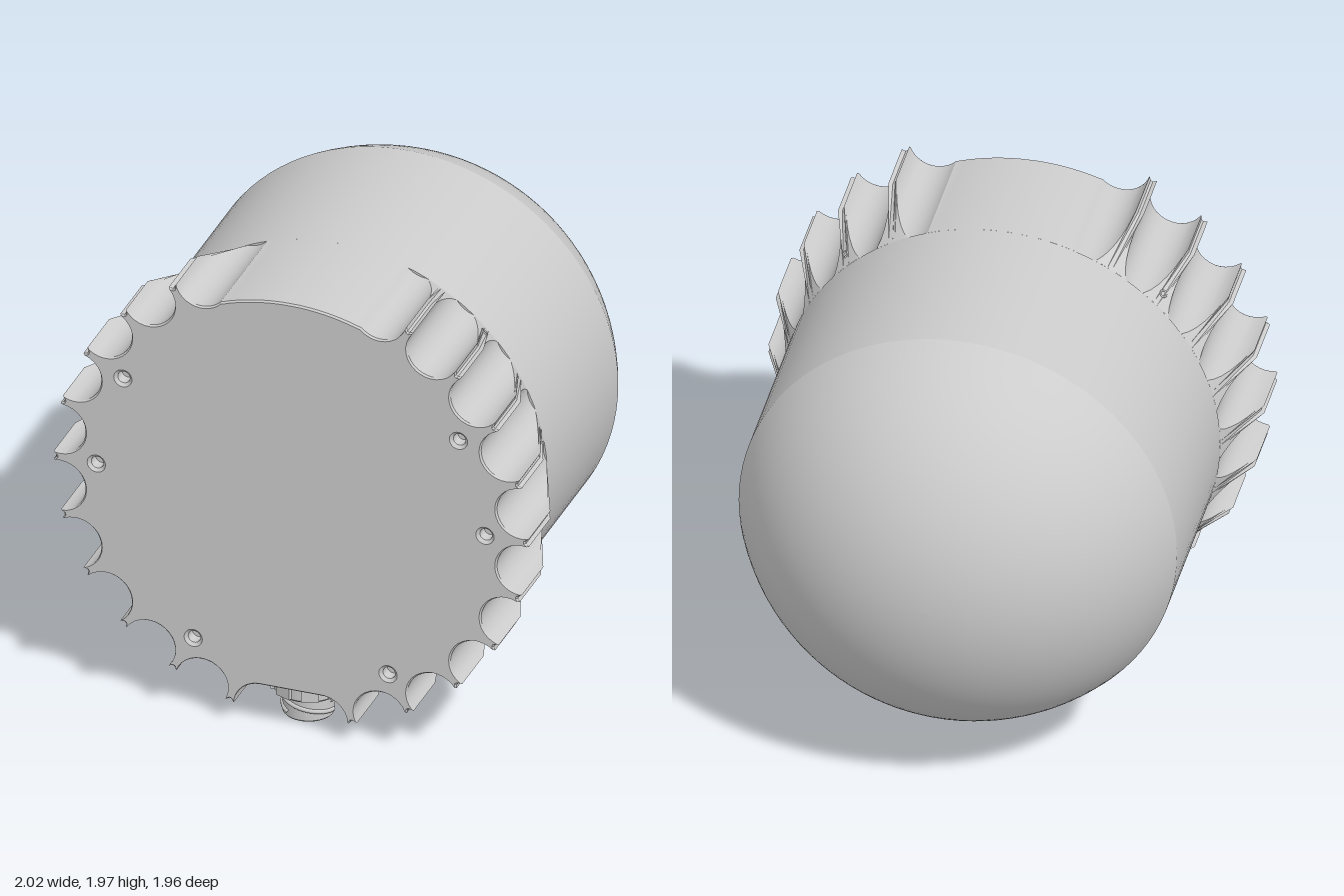
import * as THREE from 'three';
import { toCreasedNormals } from 'three/addons/utils/BufferGeometryUtils.js';

const CENTER_Y = 1.07, FRONT = 0.98, SHOULDER = 0.73, SEAM = 0.45, RIM = -0.35;
const BODY_R = 0.895, FLANGE_R = 1.0, BITE_R = 0.115;
const DEG = Math.PI / 180;

const material = new THREE.MeshStandardMaterial({ color: 0xcccccc });
const doubleSided = new THREE.MeshStandardMaterial({ color: 0xcccccc, side: THREE.DoubleSide });

function add(parent, name, geometry, mat = material) {
  const mesh = new THREE.Mesh(geometry, mat);
  mesh.name = name;
  parent.add(mesh);
  return mesh;
}

// Lathe around z: points are [radius, z] from back to front
function latheZ(points, segments) {
  const g = new THREE.LatheGeometry(points.map(p => new THREE.Vector2(p[0], p[1])), segments);
  return g.rotateX(Math.PI / 2);
}

// Scalloped flange outline, counter-clockwise; right half built bottom to top and mirrored
function flangeOutline() {
  const half = [];
  const polar = (r, a) => new THREE.Vector2(r * Math.cos(a), r * Math.sin(a));
  const N = 16;
  const spread = 93 * DEG;
  const bite = (deg, from, to) => {
    const c = polar(FLANGE_R, deg * DEG);
    for (let i = 0; i <= N; i++) {
      // sweep through the inward-facing side of the circle
      const a = deg * DEG + Math.PI - (from + (to - from) * i / N);
      half.push(polar(BITE_R, a).add(c));
    }
  };
  bite(-82.5, 7.5 * DEG, spread);
  for (let d = -75; d <= 60; d += 15) {
    half.push(polar(FLANGE_R, (d - 0.3) * DEG), polar(FLANGE_R, (d + 0.3) * DEG));
    if (d < 60) bite(d + 7.5, -spread, spread);
  }
  // last bite runs into the plain arc over the top
  bite(67.5, -spread, 24 * DEG);
  for (let d = 71; d <= 90; d += 1.9) half.push(polar(BODY_R, d * DEG));
  const mirrored = half.filter(p => p.x > 1e-3).map(p => new THREE.Vector2(-p.x, p.y)).reverse();
  return half.concat(mirrored);
}

// Flange wall: chamfer, straight scallops, then a cone fading into the body
function flangeWall(outline) {
  const n = outline.length, pos = [], index = [];
  const ring = fn => outline.forEach(p => {
    const r = p.length(), [s, z] = fn(r);
    pos.push(p.x * s, p.y * s, z);
  });
  const coneZ = r => THREE.MathUtils.clamp(
    SEAM + (SHOULDER - SEAM) * (r - BODY_R) / (FLANGE_R - BODY_R), SEAM, SHOULDER);
  ring(() => [0.992, FRONT]);
  ring(() => [1, FRONT - 0.008]);
  ring(r => [1, coneZ(r)]);
  ring(r => [BODY_R / r, SEAM]);
  for (let k = 0; k < 3; k++) for (let i = 0; i < n; i++) {
    const a = k * n + i, b = k * n + (i + 1) % n;
    index.push(a, a + n, b, b, a + n, b + n);
  }
  const g = new THREE.BufferGeometry();
  g.setAttribute('position', new THREE.Float32BufferAttribute(pos, 3));
  g.setIndex(index);
  return toCreasedNormals(g.toNonIndexed(), 0.3);
}

function createConnector() {
  const group = new THREE.Group();
  group.name = 'cableConnector';
  const lathe = (pts, seg) => toCreasedNormals(
    new THREE.LatheGeometry(pts.map(p => new THREE.Vector2(...p)), seg).toNonIndexed(), 0.5);
  // Hollow socket
  add(group, 'connectorSocket', lathe([
    [0, 0.07], [0.075, 0.07], [0.075, 0.01], [0.08, 0], [0.1, 0], [0.105, 0.006], [0.105, 0.2],
  ], 40), doubleSided);
  // Collar with grip lugs
  add(group, 'connectorCollar', lathe([
    [0.1, 0.105], [0.132, 0.105], [0.142, 0.115], [0.142, 0.18], [0.155, 0.18], [0.155, 0.2],
  ], 40), doubleSided);
  for (let i = 0; i < 8; i++) {
    const a = (i + 0.5) * Math.PI / 4;
    const lug = add(group, 'collarLug', new THREE.BoxGeometry(0.02, 0.065, 0.07));
    lug.position.set(0.143 * Math.cos(a), 0.15, 0.143 * Math.sin(a));
    lug.rotation.y = -a;
  }
  // Coupling thread
  for (let k = 0; k < 3; k++) {
    const pts = [];
    for (let i = 0; i <= 16; i++) {
      const a = k * Math.PI * 2 / 3 + i / 16 * 2.4;
      pts.push(new THREE.Vector3(0.104 * Math.cos(a), 0.025 + 0.055 * i / 16, 0.104 * Math.sin(a)));
    }
    add(group, 'couplingThread', new THREE.TubeGeometry(new THREE.CatmullRomCurve3(pts), 32, 0.01, 6));
  }
  group.position.z = 0.775;
  return group;
}

export function createModel() {
  const model = new THREE.Group();
  model.name = 'domedHousing';
  const housing = new THREE.Group();
  housing.name = 'housing';
  housing.position.y = CENTER_Y;
  model.add(housing);

  // Spherical dome at the back
  const h = FRONT + RIM, R = (BODY_R * BODY_R + h * h) / (2 * h);
  const domeAngle = Math.asin(BODY_R / R);
  const dome = [];
  for (let i = 0; i <= 28; i++) {
    const a = domeAngle * i / 28;
    dome.push([R * Math.sin(a), -FRONT + R - R * Math.cos(a)]);
  }
  add(housing, 'dome', latheZ(dome, 96));

  // Cylindrical barrel
  add(housing, 'barrel', latheZ([[BODY_R, RIM], [BODY_R, SEAM]], 96));

  // Scalloped flange and its front plate
  const outline = flangeOutline();
  add(housing, 'scallopedFlange', flangeWall(outline));
  const plate = new THREE.Shape(outline.map(p => p.clone().multiplyScalar(0.992)));
  const screws = [];
  for (const [x, y] of [[0.828, 0], [0.715, 0.413], [0.415, -0.717]]) screws.push([x, y], [-x, y]);
  for (const [x, y] of screws) {
    plate.holes.push(new THREE.Path().absarc(x, y, 0.039, 0, Math.PI * 2, true));
  }
  add(housing, 'frontPlate', new THREE.ShapeGeometry(plate, 12).translate(0, 0, FRONT));

  // Countersunk screw pockets
  const pocket = toCreasedNormals(latheZ([
    [0, -0.06], [0.026, -0.06], [0.026, -0.012], [0.039, 0],
  ], 24).toNonIndexed(), 0.5);
  for (const [x, y] of screws) {
    add(housing, 'screwPocket', pocket, doubleSided).position.set(x, y, FRONT);
  }

  // Small vent holes on the tapered shoulder
  const slope = new THREE.Vector2(SHOULDER - SEAM, -(FLANGE_R - BODY_R)).normalize();
  for (const deg of [45, 135, 225, 315]) {
    const c = Math.cos(deg * DEG), s = Math.sin(deg * DEG);
    const vent = add(housing, 'ventHole', new THREE.TorusGeometry(0.014, 0.004, 6, 20));
    vent.position.set(0.919 * c, 0.919 * s, 0.51);
    vent.quaternion.setFromUnitVectors(new THREE.Vector3(0, 0, 1),
      new THREE.Vector3(slope.x * c, slope.x * s, slope.y));
  }

  model.add(createConnector());
  return model;
}
